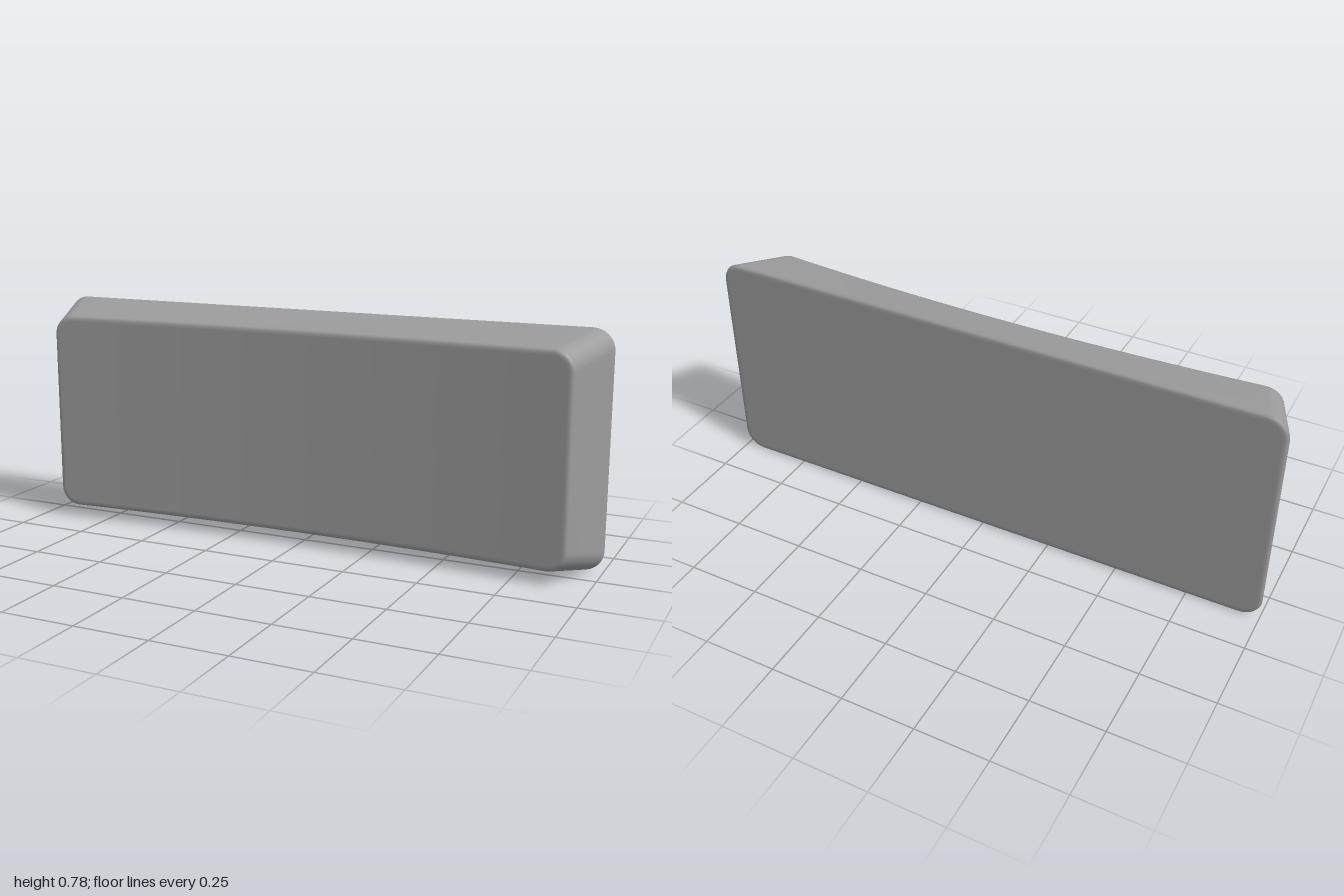
import * as THREE from 'three';

const BACK = -0.109, HALF_HEIGHT = 0.389, ARC = 8, LONG = 32;

// Concave front: deepest at the middle, rising to both ends
const dish = x => 0.07 + 0.04 * (x / 0.928) ** 2;

// Rounded rectangle, counter-clockwise, long edges subdivided to follow the dish
function contour(hx, hy, r) {
  const pts = [];
  [[1, 1], [-1, 1], [-1, -1], [1, -1]].forEach(([sx, sy], q) => {
    for (let i = 0; i <= ARC; i++) {
      const a = (q + i / ARC) * Math.PI / 2;
      pts.push([sx * (hx - r) + r * Math.cos(a), sy * (hy - r) + r * Math.sin(a)]);
    }
    if (q % 2 === 0) {
      for (let i = 1; i < LONG; i++) {
        pts.push([sx * (hx - r) * (1 - 2 * i / LONG), sy * hy]);
      }
    }
  });
  return pts;
}

const backRing = (inset, dz) =>
  contour(1 - inset, HALF_HEIGHT - inset, 0.07 - inset).map(([x, y]) => [x, y, BACK + dz]);
const frontRing = (inset, dz) =>
  contour(0.928 - inset, 0.346 - inset, 0.067 - inset).map(([x, y]) => [x, y, dish(x) + dz]);
const toMidline = ring => ring.map(([x, y, z]) => [x, 0, z]);

export function createModel() {
  // Cross-sections from the flat back, over the sloping walls, to the dished front
  const rings = [
    toMidline(backRing(0.02, 0)),
    backRing(0.02, 0), backRing(0.01, 0), backRing(0.003, 0.003), backRing(0, 0.01),
    frontRing(0, -0.012), frontRing(0.003, -0.004), frontRing(0.011, 0), frontRing(0.02, 0),
    toMidline(frontRing(0.02, 0)),
  ];
  const n = rings[0].length, index = [];
  for (let i = 0; i < rings.length - 1; i++) {
    for (let j = 0; j < n; j++) {
      const k = (j + 1) % n;
      const a = i * n + j, b = i * n + k, c = a + n, d = b + n;
      index.push(a, b, d, a, d, c);
    }
  }
  const geometry = new THREE.BufferGeometry();
  geometry.setAttribute('position', new THREE.Float32BufferAttribute(rings.flat(2), 3));
  geometry.setIndex(index);
  geometry.computeVertexNormals();

  const body = new THREE.Mesh(geometry, new THREE.MeshStandardMaterial({ color: 0x9c9c9c }));
  body.name = 'dishedBlock';
  body.position.y = HALF_HEIGHT;

  const group = new THREE.Group();
  group.name = 'taperedBlock';
  group.add(body);
  return group;
}
